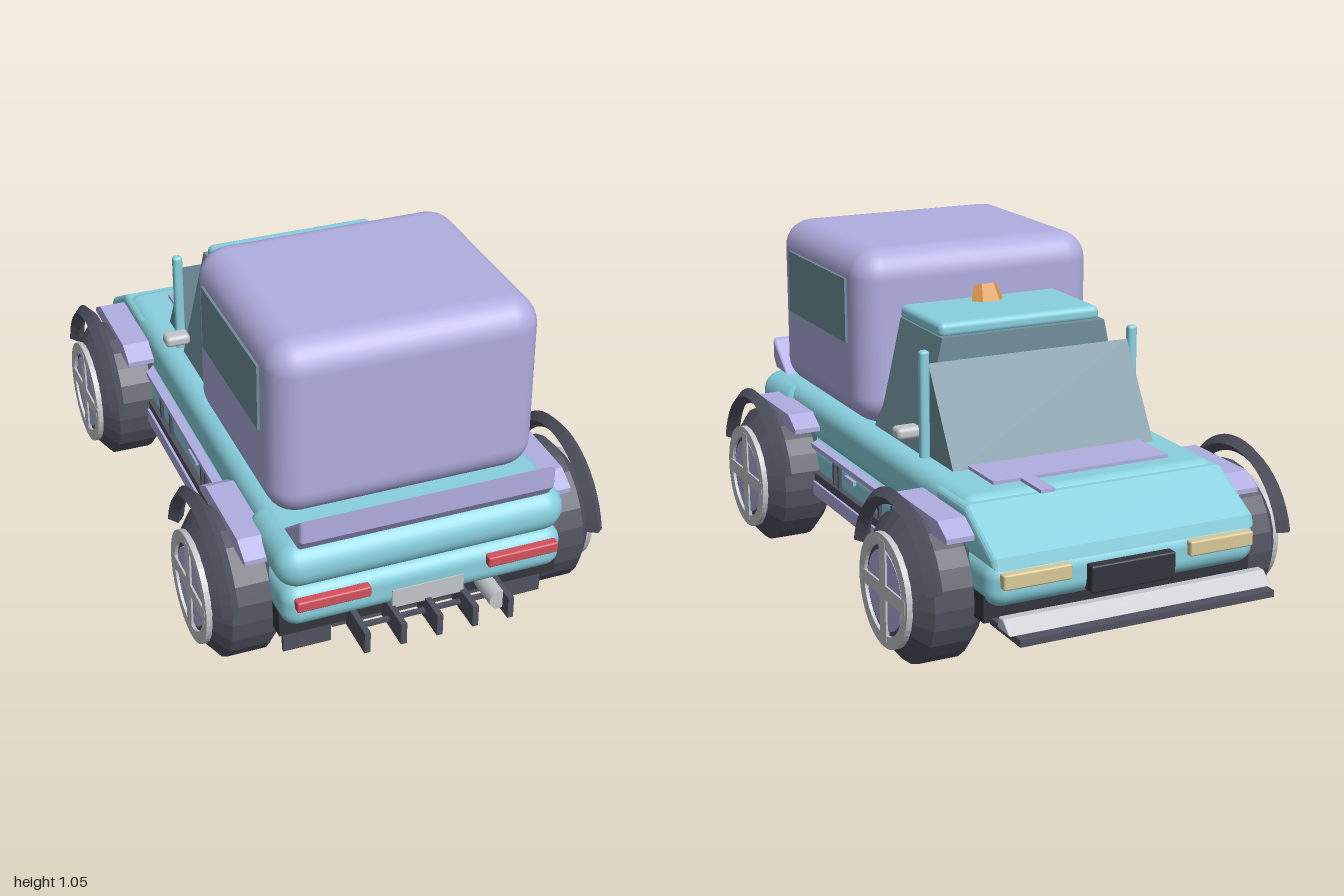
import * as THREE from 'three';
import { RoundedBoxGeometry } from 'three/addons/geometries/RoundedBoxGeometry.js';

const mat = (name, color, extra = {}) => {
  const m = new THREE.MeshStandardMaterial({ color, ...extra });
  m.name = name;
  return m;
};

export function createModel() {
  const root = new THREE.Group();
  root.name = 'offRoadPickup';

  const teal = mat('tealPaint', 0x88d0de);
  const lilac = mat('lilacPanel', 0xb0aee0);
  const glass = mat('smokedGlass', 0x6f8f9b);
  const dark = mat('darkRubber', 0x505260);
  const under = mat('underbody', 0x34353d);
  const grey = mat('lightMetal', 0xc2c6ca);
  const red = mat('tailRed', 0xd2525c);
  const beige = mat('headlampBeige', 0xd8c898);
  const orange = mat('beaconOrange', 0xda9545);

  const add = (name, geo, material, parent = root) => {
    const mesh = new THREE.Mesh(geo, material);
    mesh.name = name;
    parent.add(mesh);
    return mesh;
  };
  // Boxes are given by their limits on each axis; r rounds the edges
  const box = (name, material, [x0, x1], [y0, y1], [z0, z1], r = 0, parent = root) => {
    const [w, h, d] = [x1 - x0, y1 - y0, z1 - z0];
    const geo = r ? new RoundedBoxGeometry(w, h, d, 4, r) : new THREE.BoxGeometry(w, h, d);
    geo.translate((x0 + x1) / 2, (y0 + y1) / 2, (z0 + z1) / 2);
    return add(name, geo, material, parent);
  };
  // Side profile of [z, y] points, extruded across x
  const profile = (pts, x0, x1, bevel = 0) => {
    const shape = new THREE.Shape(pts.map(([z, y]) => new THREE.Vector2(z, y)));
    const geo = new THREE.ExtrudeGeometry(shape, {
      depth: x1 - x0 - 2 * bevel, bevelEnabled: bevel > 0, bevelSize: bevel,
      bevelThickness: bevel, bevelOffset: -bevel, bevelSegments: 4,
    });
    geo.rotateY(-Math.PI / 2);
    geo.translate(x1 - bevel, 0, 0);
    return geo;
  };

  // Chassis and body shells
  box('chassis', under, [-0.43, 0.43], [0.19, 0.27], [-0.83, 0.86]);
  box('lowerBody', teal, [-0.43, 0.43], [0.235, 0.37], [-0.875, 0.91], 0.05);
  box('upperBody', teal, [-0.42, 0.42], [0.35, 0.497], [-0.69, 0.88], 0.05);
  box('rearShoulder', teal, [-0.44, 0.44], [0.355, 0.495], [0.6, 0.91], 0.068);
  add('nose', profile([[-0.5, 0.35], [-0.875, 0.35], [-0.865, 0.385], [-0.69, 0.485], [-0.5, 0.485]],
    -0.42, 0.42, 0.02), teal);

  // Hood plate with its offset strip
  box('hoodPlate', lilac, [-0.29, 0.285], [0.49, 0.507], [-0.6, -0.42]);
  box('hoodStrip', lilac, [0.155, 0.2], [0.497, 0.507], [-0.725, -0.6]);

  // Cabin narrows towards the roof
  const cabin = new THREE.BoxGeometry(0.71, 0.36, 0.33);
  const p = cabin.attributes.position;
  for (let i = 0; i < p.count; i++) if (p.getY(i) > 0) p.setX(i, p.getX(i) * 0.77);
  cabin.translate(0, 0.66, -0.075);
  cabin.computeVertexNormals();
  add('cabinGlass', cabin, glass);
  add('windshield', profile([[-0.445, 0.49], [-0.275, 0.49], [-0.275, 0.78]], -0.335, 0.335), glass);
  box('roof', teal, [-0.27, 0.27], [0.833, 0.878], [-0.22, 0.1], 0.018);

  // Beacon
  const beacon = new THREE.CylinderGeometry(0.04, 0.057, 0.06, 6);
  beacon.rotateY(Math.PI / 2);
  beacon.scale(1, 1, 0.55);
  const beaconMesh = add('beacon', beacon.toNonIndexed(), orange);
  beaconMesh.geometry.computeVertexNormals();
  beaconMesh.position.set(0, 0.895, 0.018);
  beaconMesh.rotation.x = 0.35;

  // Cargo canopy and tail spoiler
  box('canopy', lilac, [-0.405, 0.405], [0.493, 1.047], [0.06, 0.767], 0.09);
  add('spoiler', profile([[0.775, 0.495], [0.885, 0.495], [0.91, 0.53], [0.91, 0.597], [0.895, 0.592]],
    -0.385, 0.385, 0.012), lilac);

  // Parts that repeat on both sides
  for (const s of [-1, 1]) {
    const side = s > 0 ? 'left' : 'right';
    const sideBox = (name, m, [a, b], y, z, r) =>
      box(side + name, m, s > 0 ? [a, b] : [-b, -a], y, z, r);
    sideBox('CanopyWindow', glass, [0.405, 0.413], [0.75, 0.953], [0.17, 0.652]);
    sideBox('WindshieldPost', teal, [0.335, 0.365], [0.48, 0.822], [-0.29, -0.262], 0.01);
    sideBox('Mirror', grey, [0.34, 0.42], [0.545, 0.582], [-0.245, -0.19], 0.014);
    sideBox('Sill', lilac, [0.42, 0.455], [0.2, 0.245], [-0.42, 0.44]);
    sideBox('SillTrim', dark, [0.42, 0.447], [0.245, 0.272], [-0.42, 0.44]);
    sideBox('SideRail', lilac, [0.41, 0.44], [0.345, 0.36], [-0.42, 0.44]);
    sideBox('DoorHandle', lilac, [0.42, 0.44], [0.316, 0.33], [0.065, 0.14]);
    for (const z of [0.23, 0.19, -0.13, -0.23])
      sideBox('SideStrut', dark, [0.42, 0.44], [0.265, 0.345], [z - 0.006, z + 0.006]);
    sideBox('TailLight', red, [0.18, 0.4], [0.312, 0.346], [0.9, 0.93], 0.006);
    sideBox('Headlight', beige, [0.19, 0.4], [0.3, 0.345], [-0.895, -0.865], 0.006);
    sideBox('MudFlap', dark, [0.26, 0.405], [0.1, 0.21], [0.81, 0.823]);
    [-0.555, 0.59].forEach((z, i) => addWheel(side + (i ? 'Rear' : 'Front'), s, z));
  }

  // Wheel with fender arch and fender plate
  function addWheel(name, s, z) {
    const wheel = new THREE.Group();
    wheel.name = name + 'Wheel';
    wheel.position.set(0, 0.22, z);
    root.add(wheel);

    // Tyre: bevelled tread, closed on both faces
    const pts = [[0, 0.385], [0.178, 0.385], [0.22, 0.43], [0.22, 0.55], [0.16, 0.6], [0, 0.6]]
      .map(([r, x]) => new THREE.Vector2(r, x));
    const tyre = new THREE.LatheGeometry(pts, 24).toNonIndexed();
    tyre.computeVertexNormals();
    tyre.rotateZ(-s * Math.PI / 2);
    add('tyre', tyre, dark, wheel);

    const ringShape = new THREE.Shape().absarc(0, 0, 0.168, 0, Math.PI * 2);
    ringShape.holes.push(new THREE.Path().absarc(0, 0, 0.132, 0, Math.PI * 2));
    const ring = new THREE.ExtrudeGeometry(ringShape, { depth: 0.022, bevelEnabled: false, curveSegments: 24 });
    ring.translate(0, 0, 0.588);
    ring.rotateY(s * Math.PI / 2);
    add('rimRing', ring, grey, wheel);

    const disc = new THREE.CylinderGeometry(0.118, 0.118, 0.01, 24);
    disc.rotateZ(Math.PI / 2);
    disc.translate(s * 0.6, 0, 0);
    add('hubDisc', disc, lilac, wheel);
    for (const [h, d] of [[0.3, 0.042], [0.042, 0.3]]) {
      const spoke = new THREE.BoxGeometry(0.014, h, d);
      spoke.translate(s * 0.604, 0, 0);
      add('spoke', spoke, grey, wheel);
    }

    // Diamond-section arch over the tyre
    const start = 0.24;
    const arch = new THREE.TorusGeometry(0.26, 0.025, 4, 20, Math.PI - 2 * start).toNonIndexed();
    arch.rotateZ(start);
    arch.rotateY(Math.PI / 2);
    arch.computeVertexNormals();
    arch.translate(s * 0.566, 0.005, 0);
    add('fenderArch', arch, dark, wheel).material.side = THREE.DoubleSide;

    const plate = profile([[-0.2, 0.185], [0.2, 0.185], [0.2, 0.2], [0.14, 0.235], [-0.14, 0.235], [-0.2, 0.2]],
      s > 0 ? 0.41 : -0.505, s > 0 ? 0.505 : -0.41);
    add('fenderPlate', plate, lilac, wheel);
  }

  // Rear end: plate, diffuser fins, exhaust
  box('rearPlate', grey, [-0.11, 0.11], [0.24, 0.3], [0.905, 0.914]);
  box('diffuserBar', dark, [-0.27, 0.27], [0.178, 0.195], [0.83, 0.86]);
  box('diffuserCrossbar', dark, [-0.22, 0.22], [0.2, 0.21], [0.905, 0.92]);
  for (let i = -2; i <= 2; i++)
    box('diffuserFin', dark, [i * 0.11 - 0.009, i * 0.11 + 0.009], [0.178, 0.247], [0.85, 1]);
  const exhaust = new THREE.CylinderGeometry(0.03, 0.03, 0.14, 16);
  exhaust.rotateX(Math.PI / 2);
  exhaust.translate(0.2, 0.22, 0.895);
  add('exhaust', exhaust, grey);

  // Front end: grille, bumper and splitter
  box('grille', under, [-0.135, 0.135], [0.25, 0.33], [-0.905, -0.86], 0.006);
  box('splitter', dark, [-0.405, 0.405], [0.18, 0.2], [-1, -0.82]);
  add('bumper', profile([[-0.965, 0.2], [-0.89, 0.2], [-0.9, 0.235], [-0.925, 0.235]],
    -0.42, 0.42, 0.005), grey);

  return root;
}
